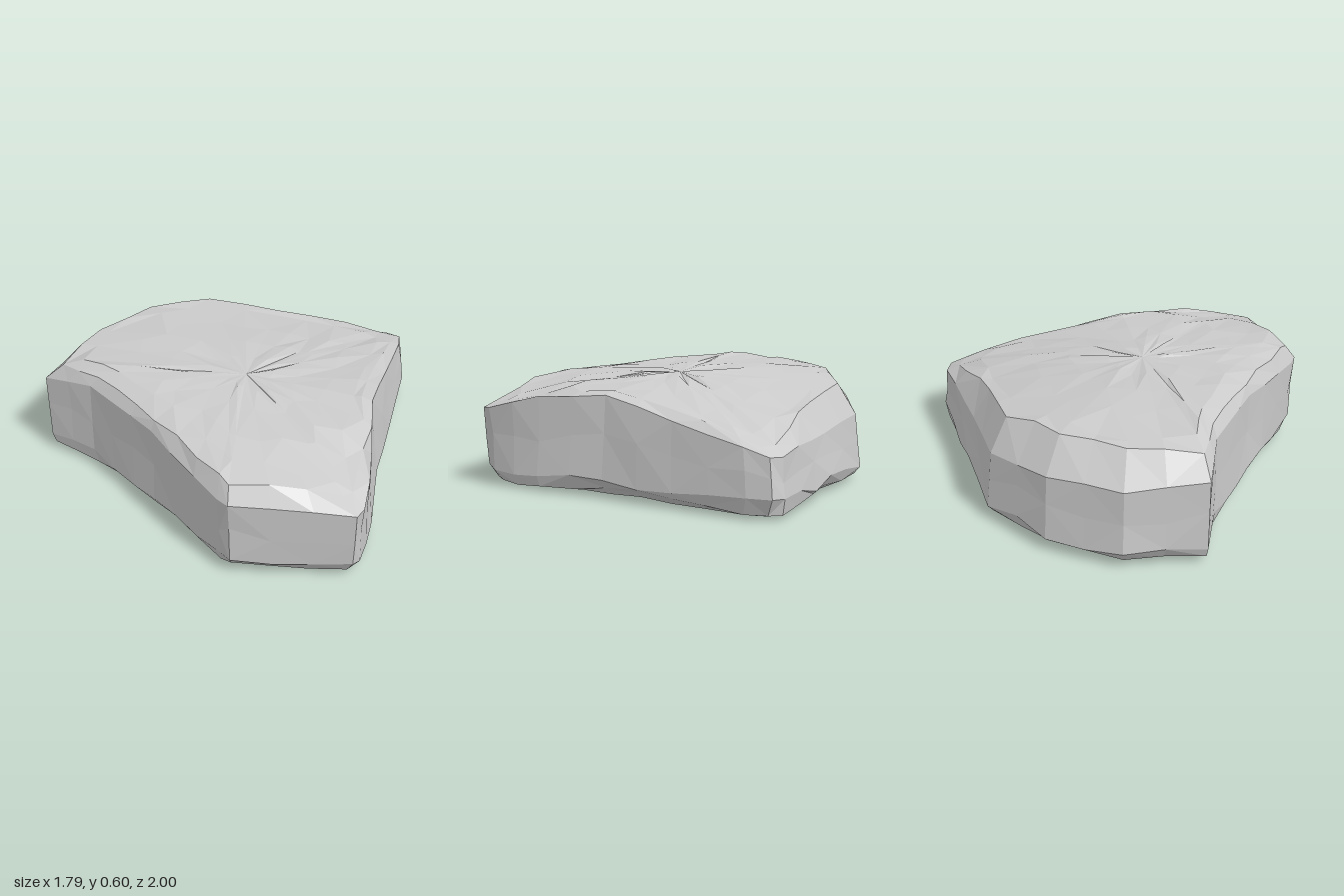
import * as THREE from 'three';

// Corners of the slab: [x, z, shoulder height, bevel inset, wall lean (+ leans in at the top)]
const CORNERS = [
  [-0.54, -1.0, 0.41, 0.13, 0.02], [-0.15, -0.99, 0.4, 0.13, 0.02], [0.22, -0.84, 0.36, 0.1, 0.03],
  [0.5, -0.5, 0.32, 0.08, 0.04], [0.87, -0.04, 0.31, 0.07, 0.02], [0.895, 0.04, 0.31, 0.07, 0.03],
  [0.8, 0.13, 0.35, 0.06, 0.04], [0.1, 0.58, 0.53, 0.05, 0.04], [-0.2, 0.82, 0.49, 0.05, 0.02],
  [-0.45, 0.99, 0.41, 0.1, -0.03], [-0.51, 1.0, 0.41, 0.11, -0.03], [-0.895, 0.56, 0.43, 0.06, -0.02],
  [-0.895, 0.49, 0.43, 0.06, -0.02], [-0.84, -0.05, 0.5, 0.03, 0.01], [-0.825, -0.54, 0.51, 0.04, 0.01],
  [-0.885, -0.82, 0.45, 0.09, 0],
];

// Height of the top face, taken as the lower of two gentle profiles
const ALONG_X = [[-0.9, 0.44], [-0.84, 0.54], [-0.72, 0.605], [-0.2, 0.58], [0.1, 0.54], [0.6, 0.43], [0.9, 0.3]];
const ALONG_Z = [[-1, 0.42], [-0.85, 0.56], [-0.5, 0.605], [0, 0.59], [0.6, 0.545], [1, 0.42]];

function sample(profile, t) {
  const last = profile.length - 1;
  const i = Math.max(1, profile.findIndex(([a], k) => t <= a || k === last));
  const [a, u] = profile[i - 1], [b, v] = profile[i];
  return THREE.MathUtils.lerp(u, v, THREE.MathUtils.clamp((t - a) / (b - a), 0, 1));
}
const topHeight = (x, z) => Math.min(sample(ALONG_X, x), sample(ALONG_Z, z));

let seed = 7;
function jitter(amount) {
  seed = (seed * 16807) % 2147483647;
  return (seed / 2147483647 - 0.5) * 2 * amount;
}

// Split the long sides between corners into shorter facets
function makeOutline() {
  return CORNERS.flatMap((a, i) => {
    const b = CORNERS[(i + 1) % CORNERS.length];
    const parts = Math.max(1, Math.round(Math.hypot(b[0] - a[0], b[1] - a[1]) / 0.19));
    return Array.from({ length: parts }, (_, k) => a.map((v, c) => THREE.MathUtils.lerp(v, b[c], k / parts)));
  });
}

const CENTRE = { x: -0.25, z: 0 };

// Point scaled about the centre, or moved a distance toward it
const scaled = (x, z, k) => [CENTRE.x + (x - CENTRE.x) * k, CENTRE.z + (z - CENTRE.z) * k];
const inset = (x, z, d) => scaled(x, z, 1 - d / Math.hypot(x - CENTRE.x, z - CENTRE.z));

function slabGeometry() {
  const outline = makeOutline();
  const n = outline.length;
  const rings = [];
  const addRing = (rule) => rings.push(outline.map(rule));

  // underside
  for (const k of [0.5, 0.88]) {
    addRing(([x, z]) => {
      const [px, pz] = scaled(x, z, k);
      return [px, 0.018 - 0.012 * px + 0.008 * pz + jitter(0.006), pz];
    });
  }
  // chipped lower edge
  addRing(([x, z, , , lean]) => {
    const [px, pz] = inset(x, z, 0.03 + Math.max(0, -lean) + jitter(0.015));
    return [px, 0.04 + jitter(0.018), pz];
  });
  // wall: foot, middle and shoulder
  addRing(([x, z, , , lean]) => {
    const [px, pz] = inset(x, z, Math.max(0, -lean) * 0.7);
    return [px, 0.09 + jitter(0.025), pz];
  });
  addRing(([x, z, y, , lean]) => {
    const [px, pz] = inset(x, z, Math.abs(lean) * 0.4 + 0.004 + jitter(0.006));
    return [px, 0.07 + y * 0.45 + jitter(0.03), pz];
  });
  addRing(([x, z, y, , lean]) => {
    const [px, pz] = inset(x, z, Math.max(0, lean));
    return [px, y + jitter(0.008), pz];
  });
  // bevel, then the uneven top
  addRing(([x, z, y, bevel, lean]) => {
    const [px, pz] = inset(x, z, bevel + Math.max(0, lean) + jitter(0.012));
    return [px, Math.max(y, topHeight(px, pz)) - 0.005 + jitter(0.004), pz];
  });
  for (const k of [0.78, 0.58, 0.36, 0.16]) {
    addRing(([x, z]) => {
      const [px, pz] = scaled(x, z, k + jitter(0.035));
      return [px, topHeight(px, pz) - 0.008 + jitter(0.007), pz];
    });
  }

  // skin between the rings, with the facet diagonals varied
  const positions = rings.flat(2);
  const index = [];
  for (let r = 0; r < rings.length - 1; r++) {
    for (let i = 0; i < n; i++) {
      const j = (i + 1) % n;
      const a = r * n + i, b = r * n + j, c = a + n, d = b + n;
      if ((i * 7 + r * 3) % 5 < 3) index.push(a, c, d, a, d, b);
      else index.push(a, c, b, b, c, d);
    }
  }
  // closing fans below and above
  const bottom = positions.length / 3, top = bottom + 1, last = (rings.length - 1) * n;
  positions.push(CENTRE.x, 0.02, CENTRE.z, CENTRE.x, topHeight(CENTRE.x, CENTRE.z) - 0.01, CENTRE.z);
  for (let i = 0; i < n; i++) {
    const j = (i + 1) % n;
    index.push(bottom, i, j, top, last + j, last + i);
  }
  const geometry = new THREE.BufferGeometry();
  geometry.setAttribute('position', new THREE.Float32BufferAttribute(positions, 3));
  geometry.setIndex(index);
  geometry.computeVertexNormals();
  geometry.computeBoundingBox();
  geometry.translate(0, -geometry.boundingBox.min.y, 0);
  return geometry;
}

export function createModel() {
  seed = 7;
  const group = new THREE.Group();
  group.name = 'rock';
  const slab = new THREE.Mesh(slabGeometry(), new THREE.MeshStandardMaterial({ color: 0xcccccc, flatShading: true }));
  slab.name = 'stoneSlab';
  group.add(slab);
  return group;
}
